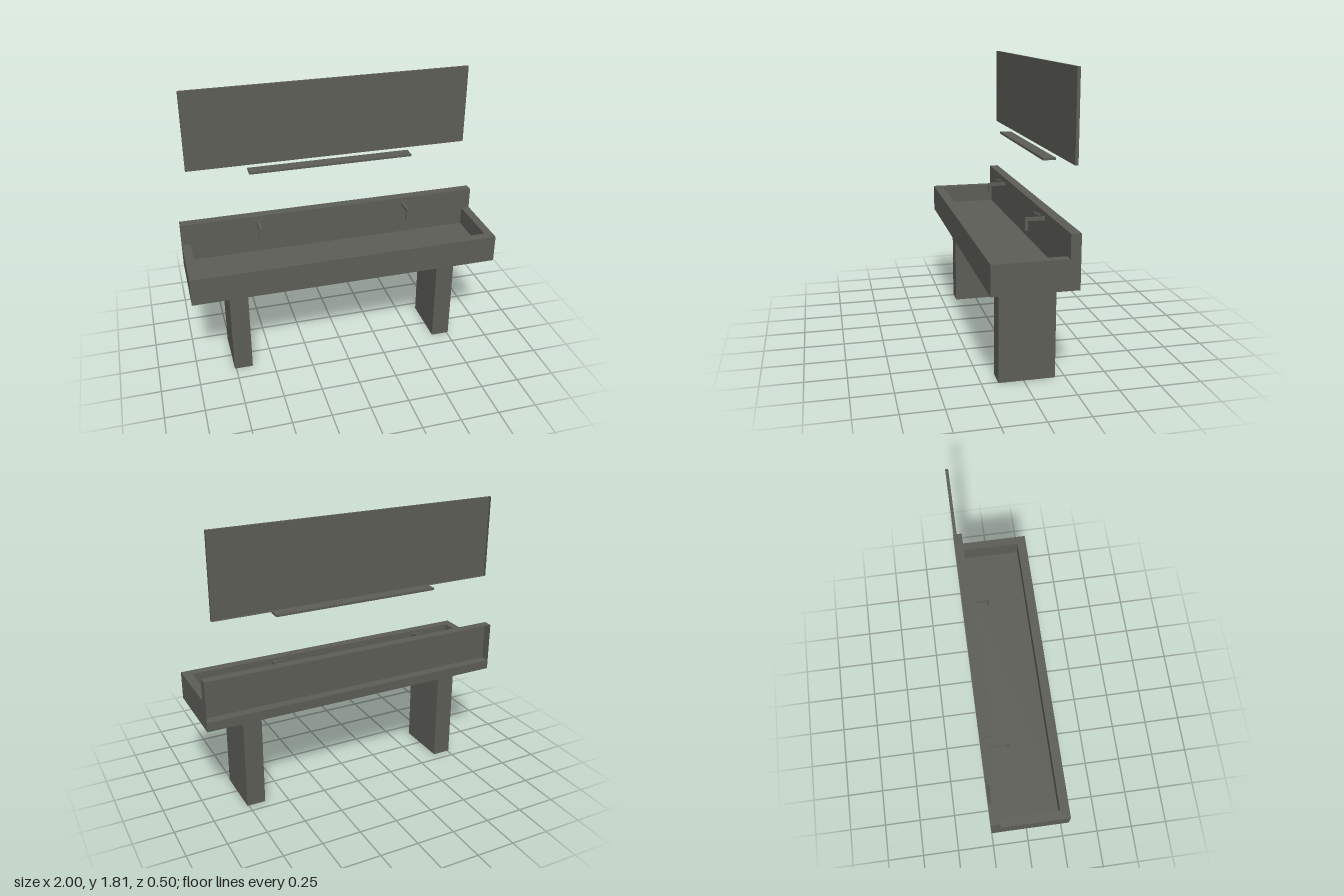
import * as THREE from 'three';

const graphite = new THREE.MeshStandardMaterial({ color: 0x5d5d57, side: THREE.DoubleSide });
graphite.name = 'graphite';

// Box given by its limits; faces listed in `open` are left out
// (0 +x, 1 -x, 2 +y, 3 -y, 4 +z, 5 -z)
function box(name, [x0, x1], [y0, y1], [z0, z1], open = []) {
  const g = new THREE.BoxGeometry(x1 - x0, y1 - y0, z1 - z0);
  const kept = Array.from(g.index.array).filter((_, i) => !open.includes(Math.floor(i / 6)));
  g.setIndex(kept);
  g.clearGroups();
  const m = new THREE.Mesh(g, graphite);
  m.name = name;
  m.position.set((x0 + x1) / 2, (y0 + y1) / 2, (z0 + z1) / 2);
  return m;
}

// U-shaped wall around the front and sides of the trough
function rim() {
  const s = new THREE.Shape([
    [-1, 0.19], [-1, -0.25], [1, -0.25], [1, 0.19],
    [0.945, 0.19], [0.945, -0.19], [-0.945, -0.19], [-0.945, 0.19],
  ].map(([x, y]) => new THREE.Vector2(x, y)));
  const g = new THREE.ExtrudeGeometry(s, { depth: 0.12, bevelEnabled: false });
  g.rotateX(-Math.PI / 2);
  const m = new THREE.Mesh(g, graphite);
  m.name = 'basinRim';
  m.position.y = 0.68;
  return m;
}

// L-shaped spout with a slanted lever above it
function tap(x) {
  const t = new THREE.Group();
  t.name = 'tap';
  const profile = new THREE.Shape([
    [0.19, 0.89], [0.19, 0.91], [0.068, 0.91], [0.068, 0.83], [0.085, 0.83], [0.085, 0.89],
  ].map(([a, b]) => new THREE.Vector2(a, b)));
  const g = new THREE.ExtrudeGeometry(profile, { depth: 0.02, bevelEnabled: false });
  g.translate(0, 0, -0.01);
  g.rotateY(Math.PI / 2);
  const spout = new THREE.Mesh(g, graphite);
  spout.name = 'spout';
  const lever = box('lever', [-0.033, 0.033], [0.925, 0.935], [-0.006, 0.006]);
  lever.position.z = -0.142;
  lever.rotation.y = 0.25;
  t.add(spout, lever);
  t.position.x = x;
  return t;
}

export function createModel() {
  const model = new THREE.Group();
  model.name = 'washTrough';

  // Trough and open-backed splash wall
  model.add(
    box('basinFloor', [-1, 1], [0.62, 0.68], [-0.25, 0.25]),
    rim(),
    box('backsplash', [-1, 1], [0.68, 0.94], [-0.25, -0.19], [3, 5]),
  );

  // Hollow legs and taps
  for (const s of [-1, 1]) {
    const leg = box('leg', [-0.06, 0.06], [0, 0.62], [-0.19, 0.15], [2, 3]);
    leg.position.x = s * 0.7;
    model.add(leg, tap(s * 0.5));
  }

  // Shelf and open-backed mirror
  model.add(
    box('shelf', [-0.54, 0.54], [1.256, 1.27], [-0.24, -0.163]),
    box('mirror', [-0.93, 0.93], [1.295, 1.815], [-0.245, -0.227], [5]),
  );
  return model;
}
